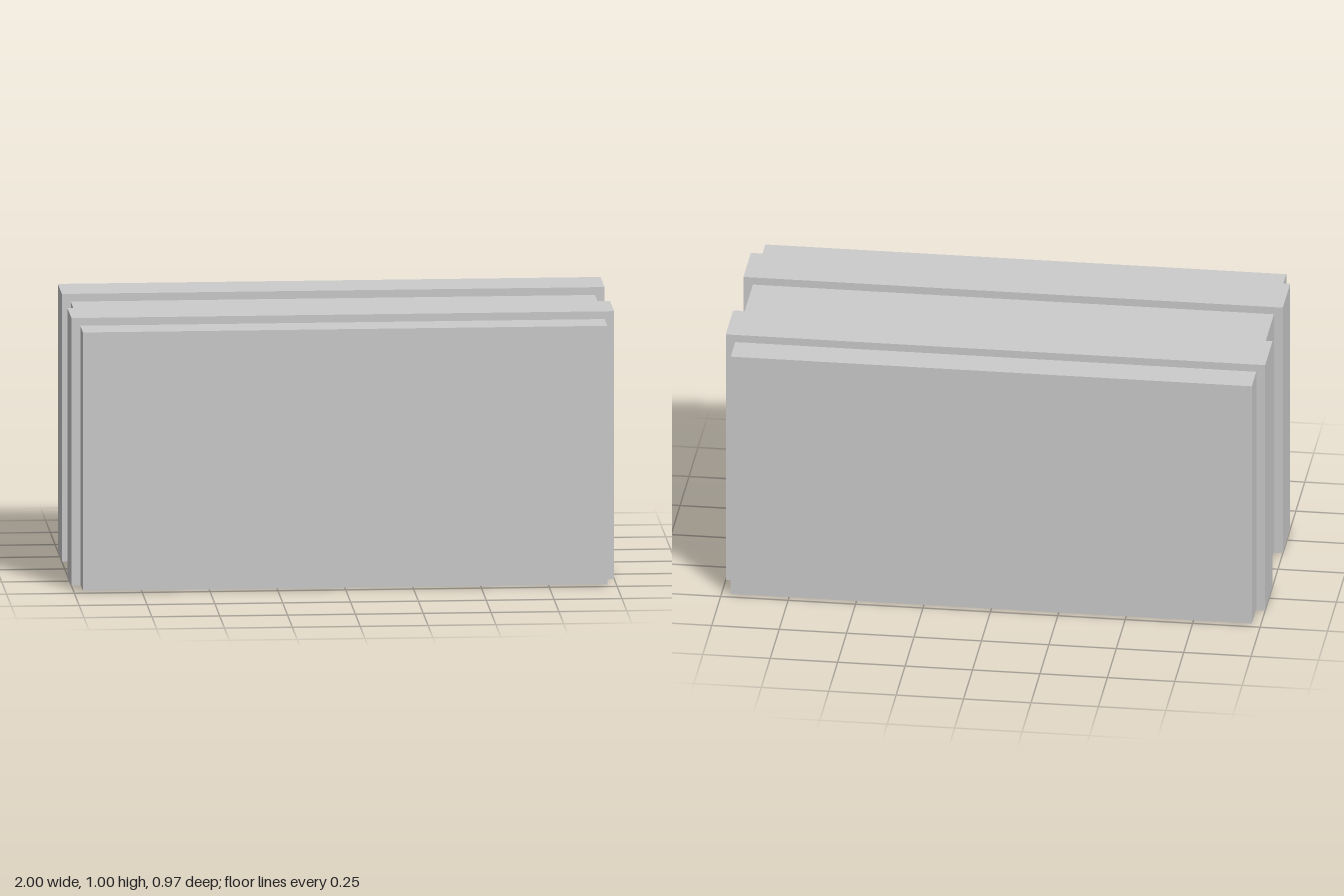
import * as THREE from 'three';

const material = new THREE.MeshStandardMaterial({ color: 0xcccccc, flatShading: true });

// Box given by its extents along each axis
function block(name, [x0, x1], [y0, y1], [z0, z1]) {
  const mesh = new THREE.Mesh(new THREE.BoxGeometry(x1 - x0, y1 - y0, z1 - z0), material);
  mesh.position.set((x0 + x1) / 2, (y0 + y1) / 2, (z0 + z1) / 2);
  mesh.name = name;
  return mesh;
}

export function createModel() {
  const model = new THREE.Group();
  model.name = 'strappedCrate';

  // Main body, slightly inset from the straps
  model.add(block('body', [-0.967, 0.965], [0.005, 0.971], [-0.483, 0.483]));

  // Two raised straps wrapping the body
  const straps = { frontStrap: 0.241, backStrap: -0.254 };
  for (const [name, z] of Object.entries(straps)) {
    model.add(block(name, [-1, 1], [0, 1], [z - 0.1035, z + 0.1035]));
  }

  return model;
}
